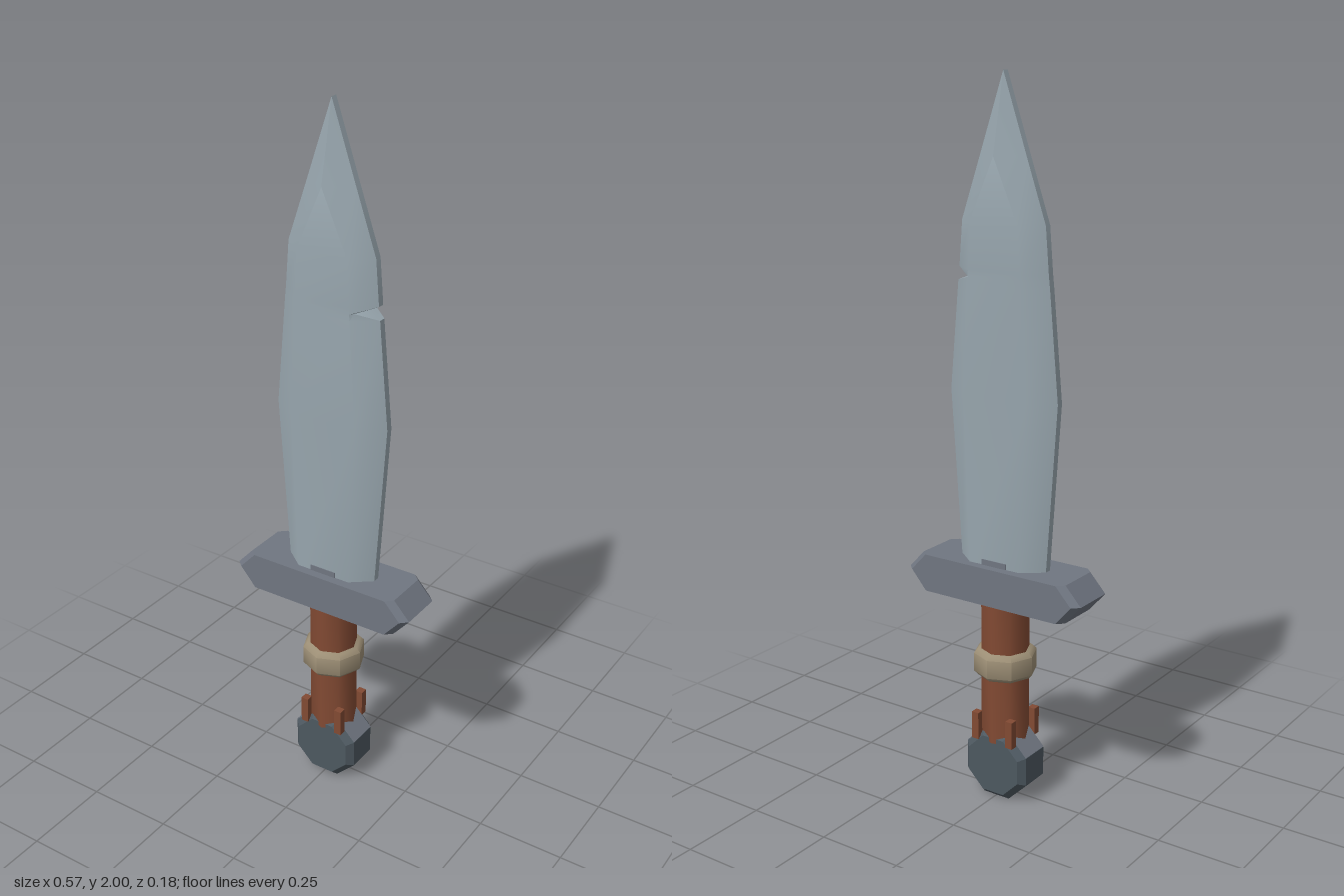
import * as THREE from 'three';
import { toCreasedNormals } from 'three/addons/utils/BufferGeometryUtils.js';

const mat = (name, color) => {
  const m = new THREE.MeshStandardMaterial({ color });
  m.name = name;
  return m;
};

// Skin a stack of rings (equal point counts, anticlockwise seen from below) and cap both ends
function loft(rings, crease) {
  const n = rings[0].length, index = [];
  for (let r = 0; r < rings.length - 1; r++) {
    for (let i = 0; i < n; i++) {
      const j = (i + 1) % n, a = r * n + i, b = r * n + j;
      index.push(a, a + n, b, b, a + n, b + n);
    }
  }
  const top = (rings.length - 1) * n;
  for (let i = 1; i < n - 1; i++) {
    index.push(0, i, i + 1, top, top + i + 1, top + i);
  }
  const geo = new THREE.BufferGeometry();
  geo.setAttribute('position', new THREE.Float32BufferAttribute(rings.flat(2), 3));
  geo.setIndex(index);
  return toCreasedNormals(geo, crease);
}

// Eight-sided turned solid from [radius, height] pairs, bottom to top
const turned = (profile, crease) =>
  toCreasedNormals(new THREE.LatheGeometry(profile.map(p => new THREE.Vector2(...p)), 8), crease);

export function createModel() {
  const group = new THREE.Group();
  const steel = mat('blade steel', 0x98a6ae);
  const iron = mat('guard iron', 0x707681);
  const darkIron = mat('pommel iron', 0x4d5860);
  const leather = mat('handle leather', 0x824a33);
  const cord = mat('band tan', 0x9c8e75);

  const add = (name, geo, material) => {
    const mesh = new THREE.Mesh(geo, material);
    mesh.name = name;
    group.add(mesh);
    return mesh;
  };

  // Blade: [y, flat half width, flat z, edge half width, notched edge x, notched edge z]
  const bladeRows = [
    [0.66, 0.08, 0.055, 0.137],
    [1.16, 0.10, 0.055, 0.172],
    [1.46, 0.083, 0.055, 0.145],
    [1.478, 0.082, 0.055, 0.143, 0.09, 0.045],
    [1.496, 0.081, 0.055, 0.141],
    [1.62, 0.075, 0.055, 0.131],
    [1.79, 0, 0.055, 0.072],
    [2.0, 0, 0.01, 0],
  ];
  add('blade', loft(bladeRows.map(([y, f, z, w, nx = w, nz = 0.01]) => [
    [-f, y, z], [-w, y, 0.01], [-w, y, -0.01], [-f, y, -z],
    [f, y, -z], [nx, y, -nz], [nx, y, nz], [f, y, z],
  ]), 0.78), steel);

  // Small iron block where the blade enters the guard
  add('bladeSocket', new THREE.BoxGeometry(0.08, 0.05, 0.114).translate(0, 0.683, 0), iron);

  // Guard: chamfered rectangles, widest at mid height
  const guardRing = ([y, w]) => {
    const d = 0.081, c = 0.019, x = w - 0.02;
    return [
      [-x, y, d], [-w, y, d - c], [-w, y, c - d], [-x, y, -d],
      [x, y, -d], [w, y, c - d], [w, y, d - c], [x, y, d],
    ];
  };
  add('guard', loft([[0.585, 0.235], [0.64, 0.283], [0.692, 0.235]].map(guardRing), 0.3), iron);

  // Handle with the raised band
  add('handle', turned([[0, 0.17], [0.068, 0.17], [0.068, 0.64], [0, 0.64]], 0.9), leather);
  add('handleBand', turned([
    [0, 0.363], [0.078, 0.363], [0.089, 0.375], [0.089, 0.428], [0.078, 0.44], [0, 0.44],
  ], 0.9), cord);

  // Four short ribs at the foot of the handle
  for (const x of [-0.057, 0.057]) {
    for (const z of [-0.057, 0.057]) {
      add('handleRib', new THREE.BoxGeometry(0.022, 0.08, 0.022).translate(x, 0.21, z), leather);
    }
  }

  // Pommel: chamfered octagonal disc facing front and back
  const k = 1 / Math.cos(Math.PI / 8);
  const pommel = turned([
    [0, -0.063], [0.083 * k, -0.063], [0.1 * k, -0.044],
    [0.1 * k, 0.044], [0.083 * k, 0.063], [0, 0.063],
  ], 0.3);
  pommel.rotateY(Math.PI / 8).rotateX(Math.PI / 2).translate(0, 0.1, 0);
  add('pommel', pommel, darkIron);

  // Lighter plates on the pommel's upper shoulders
  for (const side of [-1, 1]) {
    const plate = new THREE.BoxGeometry(0.081, 0.004, 0.088);
    plate.translate(0, 0.1, 0).rotateZ(-side * Math.PI / 4).translate(0, 0.1, 0);
    add('pommelShoulder', plate, iron);
  }

  return group;
}
